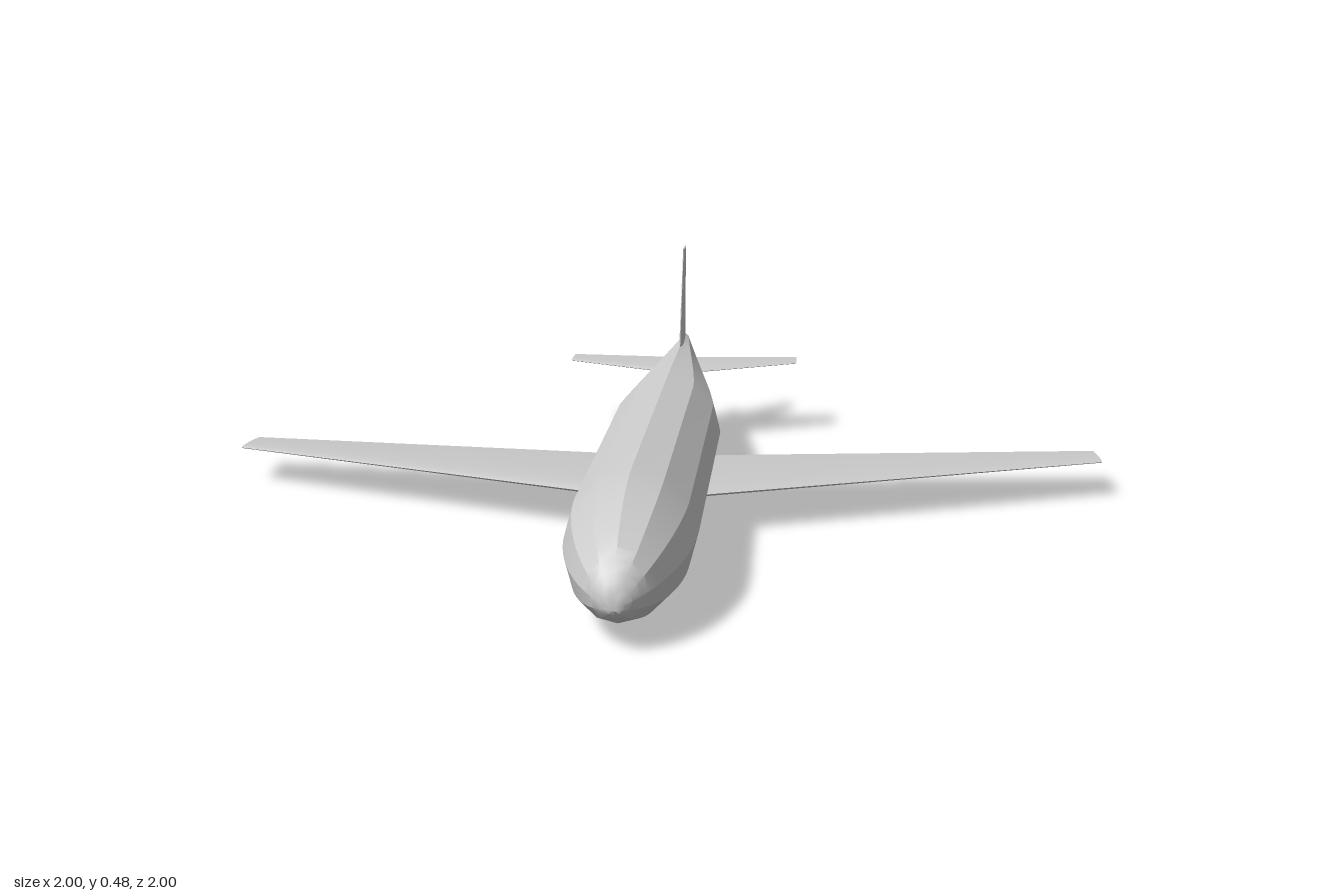
import * as THREE from 'three';
import { toCreasedNormals } from 'three/addons/utils/BufferGeometryUtils.js';

const material = new THREE.MeshStandardMaterial({ color: 0xcccccc });

// Skin a list of closed rings (arrays of Vector3) and cap both ends; faces are turned outward.
function loft(name, rings, crease) {
  const tris = [];
  const n = rings[0].length;
  for (let i = 0; i < rings.length - 1; i++) {
    for (let j = 0; j < n; j++) {
      const k = (j + 1) % n;
      const a = rings[i][j], b = rings[i][k], c = rings[i + 1][k], d = rings[i + 1][j];
      tris.push([a, b, c], [a, c, d]);
    }
  }
  const cap = (ring, flip) => {
    const mid = ring.reduce((s, p) => s.add(p), new THREE.Vector3()).divideScalar(n);
    ring.forEach((p, j) => {
      const q = ring[(j + 1) % n];
      tris.push(flip ? [mid, q, p] : [mid, p, q]);
    });
  };
  cap(rings[0], true);
  cap(rings[rings.length - 1], false);

  const volume = tris.reduce((v, [a, b, c]) => v + a.dot(b.clone().cross(c)), 0);
  if (volume < 0) tris.forEach((t) => t.reverse());
  const geometry = new THREE.BufferGeometry().setFromPoints(tris.flat());
  const mesh = new THREE.Mesh(toCreasedNormals(geometry, crease), material);
  mesh.name = name;
  return mesh;
}

// Twelve-sided fuselage ring
function bodyRing(z, y, rx, ry) {
  return Array.from({ length: 12 }, (_, i) => {
    const a = (i / 12) * Math.PI * 2;
    return new THREE.Vector3(Math.sin(a) * rx, y + Math.cos(a) * ry, z);
  });
}

// Airfoil outline: chord runs 0 (leading edge) to 1, height is in units of thickness
const FOIL = [];
const STEPS = 10;
const foilHeight = (c) => 1.48 * Math.sqrt(c) - 0.63 * c - 1.76 * c ** 2 + 1.42 * c ** 3 - 0.51 * c ** 4;
for (let i = 0; i < STEPS * 2; i++) {
  const c = (1 - Math.cos((i / STEPS) * Math.PI)) / 2;
  FOIL.push([c, (i < STEPS ? 1 : -1) * Math.max(foilHeight(c), 0.02)]);
}

// Lifting surface between two sections; place() maps (span, height, z) to model space
function surface(name, sections, place) {
  const rings = sections.map(({ span, lead, trail, thick, yLead = 0, yTrail = 0 }) =>
    FOIL.map(([c, h]) => place(
      span,
      THREE.MathUtils.lerp(yLead, yTrail, c) + h * thick,
      THREE.MathUtils.lerp(lead, trail, c),
    )));
  return loft(name, rings, 0.7);
}

export function createModel() {
  const model = new THREE.Group();
  model.name = 'airplane';
  const R = 0.126;

  // Fuselage: elliptical nose, straight cabin, upswept narrowing tail
  const rings = [];
  for (let i = 0; i <= 14; i++) {
    const t = (1 - i / 14) * Math.PI * 0.49;
    const r = R * Math.cos(t);
    rings.push(bodyRing(0.63 + 0.37 * Math.sin(t), 0.08 + 0.046 * Math.cos(t) ** 0.8, r, r));
  }
  const tail = [ // z, bottom, top, half width
    [-0.26, 0, 0.252, 0.126],
    [-0.33, 0.007, 0.252, 0.119],
    [-0.42, 0.022, 0.251, 0.107],
    [-0.6, 0.062, 0.248, 0.077],
    [-0.8, 0.113, 0.244, 0.043],
    [-0.975, 0.16, 0.241, 0.014],
    [-0.993, 0.166, 0.237, 0.01],
    [-1, 0.172, 0.229, 0.006],
  ];
  for (const [z, lo, hi, w] of tail) rings.push(bodyRing(z, (lo + hi) / 2, w, (hi - lo) / 2));
  model.add(loft('fuselage', rings, 0.42));

  // Wings and tailplane, mirrored
  for (const side of [1, -1]) {
    const label = side > 0 ? 'left' : 'right';
    const across = (s, y, z) => new THREE.Vector3(side * s, y, z);
    model.add(surface(`${label}Wing`, [
      { span: 0, lead: 0.245, trail: -0.249, thick: 0.026, yLead: 0.088, yTrail: 0.07 },
      { span: 1, lead: -0.207, trail: -0.357, thick: 0.008, yLead: 0.081, yTrail: 0.074 },
    ], across));
    model.add(surface(`${label}Tailplane`, [
      { span: 0, lead: -0.712, trail: -0.953, thick: 0.01, yLead: 0.18, yTrail: 0.18 },
      { span: 0.298, lead: -0.88, trail: -0.98, thick: 0.005, yLead: 0.18, yTrail: 0.18 },
    ], across));
  }

  // Upright fin
  model.add(surface('fin', [
    { span: 0.2, lead: -0.715, trail: -0.952, thick: 0.01 },
    { span: 0.48, lead: -0.875, trail: -0.973, thick: 0.005 },
  ], (s, x, z) => new THREE.Vector3(x, s, z)));

  return model;
}
